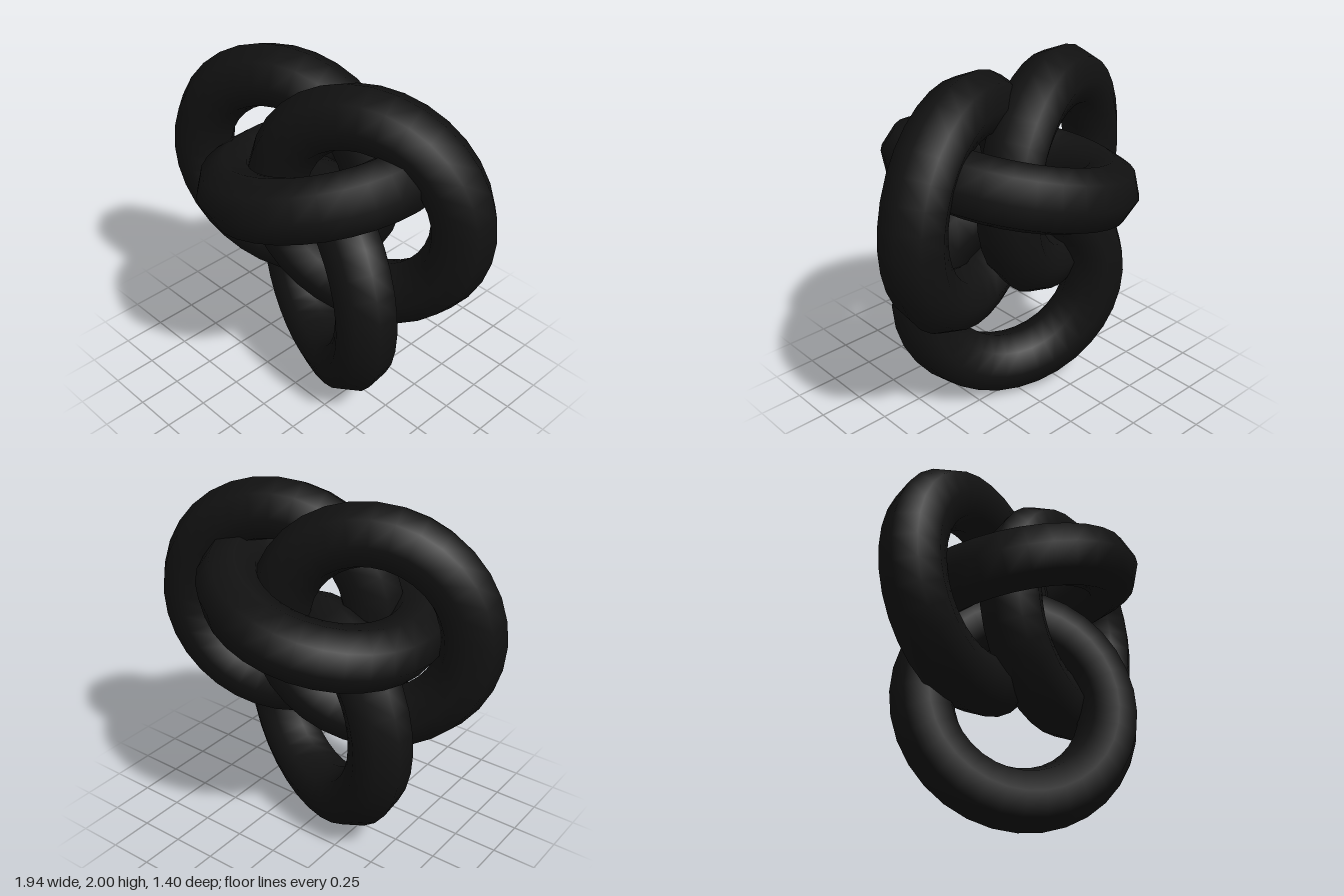
import * as THREE from 'three';

export function createModel() {
  const model = new THREE.Group();
  model.name = 'interlockedRings';

  const material = new THREE.MeshStandardMaterial({ color: 0x111111 });
  // One ring shape shared by all four: smooth shading, eight-sided tube
  const ringGeometry = new THREE.TorusGeometry(0.525, 0.175, 8, 32);
  const deg = THREE.MathUtils.degToRad;

  function addRing(name, [x, y, z], tiltX, tiltY) {
    const ring = new THREE.Mesh(ringGeometry, material);
    ring.name = name;
    ring.position.set(x, y, z);
    ring.rotation.set(deg(tiltX), deg(tiltY), 0);
    model.add(ring);
  }

  // Upright rings: the upper pair turn one way, the lower one the other
  addRing('rightRing', [-0.312, 1.3, 0], 0, 20);
  addRing('leftRing', [0.312, 1.3, 0], 0, 20);
  addRing('lowerRing', [0, 0.7, 0], 0, -20);
  // Nearly level ring, raised towards +x
  addRing('levelRing', [0, 1.4, 0], 90, 15);

  return model;
}
